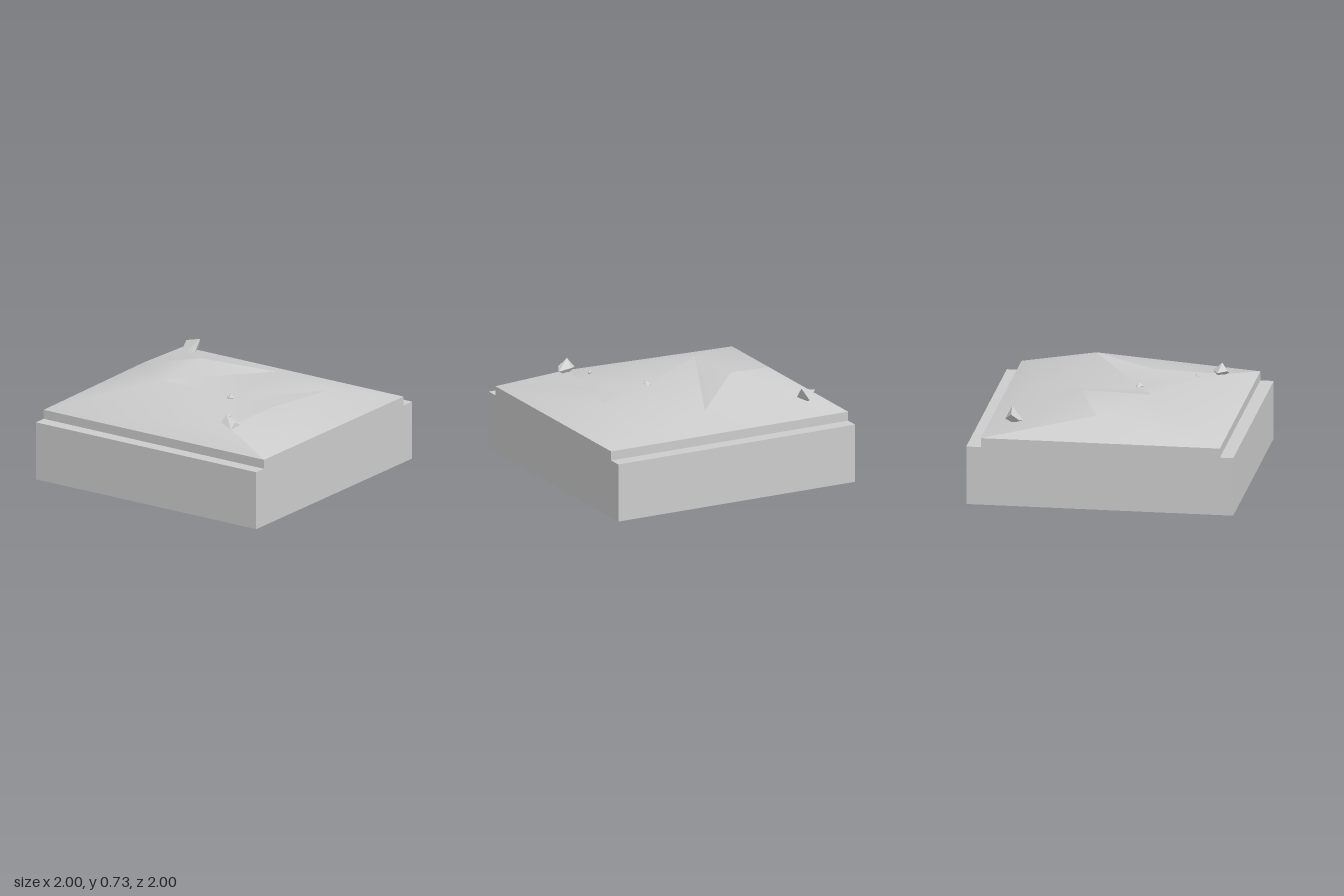
import * as THREE from 'three';
import { ConvexGeometry } from 'three/addons/geometries/ConvexGeometry.js';

const vec = (p) => new THREE.Vector3(...p);

// Ground corners and the zigzag ridge points that split the two slopes
const P = {
  backRight: [-0.9, 0.515, -1], backLeft: [0.89, 0.515, -1],
  frontRight: [-0.9, 0.515, 1], frontLeft: [0.89, 0.515, 1],
  g: [-0.69, 0.625, 0.53], d: [-0.16, 0.635, 0.55], a: [0.29, 0.683, 0.75],
  h: [-0.12, 0.615, 0.15], c: [-0.29, 0.71, -0.35], e: [0.6, 0.605, 0.05],
  b: [0.23, 0.73, -0.37], f: [0.06, 0.66, -0.78],
};

// Smooth surface from triangles of named points, all turned to face upward
function slope(name, triangles, material) {
  const names = [...new Set(triangles.flat())];
  const index = [];
  for (const t of triangles) {
    const [p, q, r] = t.map((n) => vec(P[n]));
    const up = q.sub(p).cross(r.sub(p)).y > 0;
    const [i, j, k] = t.map((n) => names.indexOf(n));
    index.push(...(up ? [i, j, k] : [i, k, j]));
  }
  const geometry = new THREE.BufferGeometry().setFromPoints(names.map((n) => vec(P[n])));
  geometry.setIndex(index);
  geometry.computeVertexNormals();
  const mesh = new THREE.Mesh(geometry, material);
  mesh.name = name;
  return mesh;
}

export function createModel() {
  const model = new THREE.Group();
  model.name = 'groundTile';
  const smooth = new THREE.MeshStandardMaterial({ color: 0xcccccc });
  const flat = new THREE.MeshStandardMaterial({ color: 0xcccccc, flatShading: true });

  // Block with a step along both sides
  const profile = [[-1, 0], [1, 0], [1, 0.445], [0.89, 0.445], [0.89, 0.515], [-0.9, 0.515], [-0.9, 0.445], [-1, 0.445]];
  const shape = new THREE.Shape(profile.map(([x, y]) => new THREE.Vector2(x, y)));
  const base = new THREE.Mesh(new THREE.ExtrudeGeometry(shape, { depth: 2, bevelEnabled: false }).translate(0, 0, -1), flat);
  base.name = 'base';
  model.add(base);

  // Two slopes meeting along the zigzag ridge
  model.add(slope('rightSlope', [
    ['backRight', 'frontRight', 'g'], ['backRight', 'g', 'c'], ['g', 'h', 'c'], ['g', 'd', 'h'], ['d', 'a', 'h'],
    ['backRight', 'c', 'f'], ['c', 'b', 'f'], ['c', 'e', 'b'], ['backRight', 'f', 'backLeft'],
  ], smooth));
  model.add(slope('leftSlope', [
    ['frontRight', 'd', 'g'], ['frontRight', 'a', 'd'], ['frontRight', 'frontLeft', 'a'], ['frontLeft', 'e', 'a'],
    ['a', 'e', 'h'], ['h', 'e', 'c'], ['frontLeft', 'backLeft', 'e'], ['e', 'backLeft', 'b'], ['b', 'backLeft', 'f'],
  ], smooth));

  // Angular rocks
  const addRock = (name, points) => {
    const mesh = new THREE.Mesh(new ConvexGeometry(points.map(vec)), flat);
    mesh.name = name;
    model.add(mesh);
    return mesh;
  };
  const frontPoints = [
    [-0.69, 0.72, 0.51], [-0.62, 0.66, 0.51], [-0.66, 0.65, 0.46], [-0.73, 0.66, 0.49],
    [-0.73, 0.62, 0.58], [-0.64, 0.64, 0.605], [-0.69, 0.665, 0.585], [-0.66, 0.6, 0.53],
  ];
  addRock('frontRock', frontPoints);
  addRock('backRock', [
    [0.7, 0.685, -0.71], [0.745, 0.6, -0.755], [0.69, 0.655, -0.83], [0.63, 0.61, -0.82],
    [0.61, 0.6, -0.77], [0.63, 0.6, -0.71], [0.68, 0.57, -0.77],
  ]);

  // Pebbles: small turned copies of the front rock
  const pebbles = [['middlePebble', -0.125, 0.625, 0.145, 0.45, 2.2], ['smallPebble', -0.52, 0.643, 0.412, 0.28, 4.2]];
  for (const [name, x, y, z, size, turn] of pebbles) {
    const pebble = addRock(name, frontPoints.map(([px, py, pz]) => [px + 0.675, py - 0.66, pz - 0.53]));
    pebble.position.set(x, y, z);
    pebble.scale.setScalar(size);
    pebble.rotation.y = turn;
  }
  return model;
}
